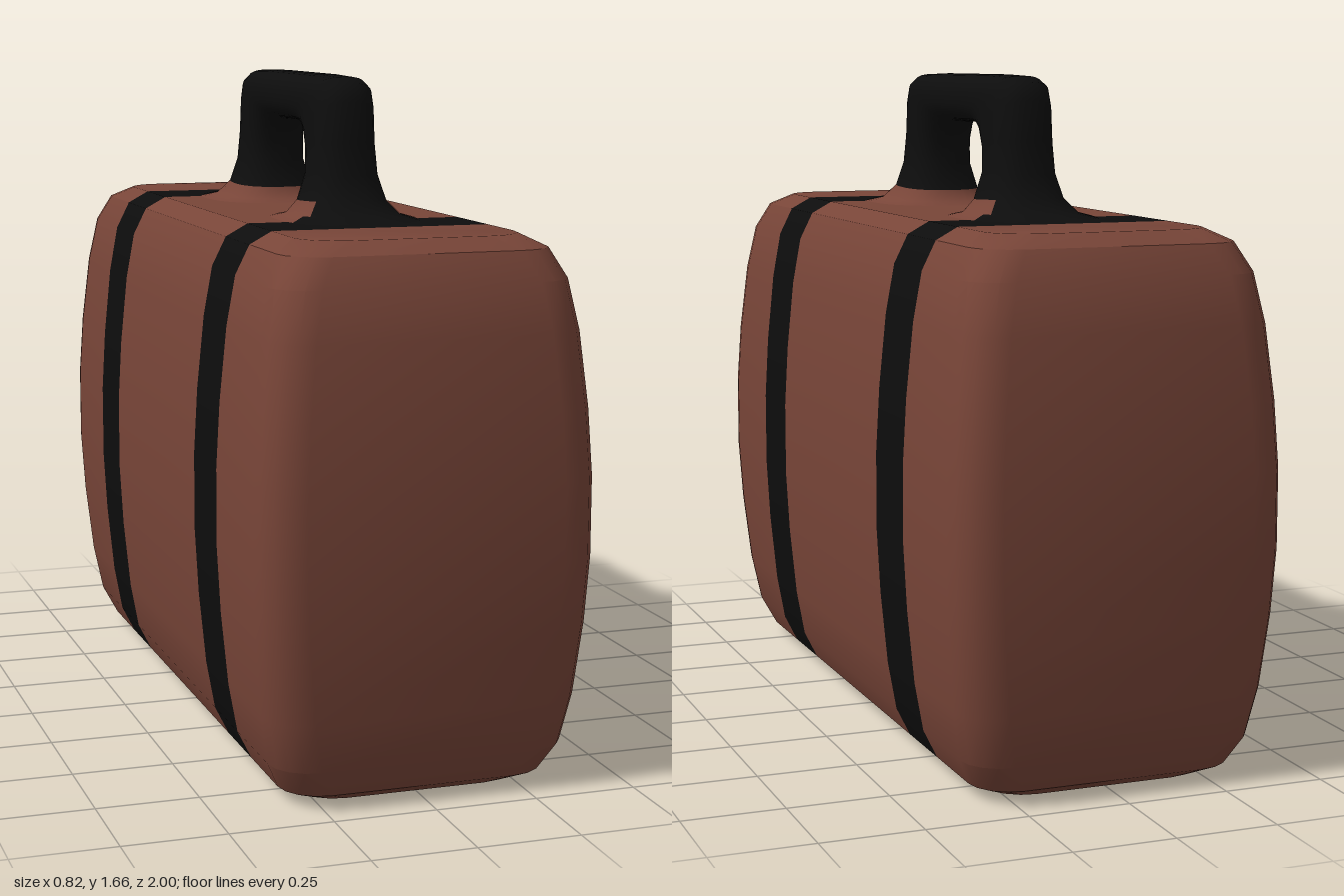
import * as THREE from 'three';
import { toCreasedNormals } from 'three/addons/utils/BufferGeometryUtils.js';

// Lofts closed rings; partOf(ring, segment, centre) returns a material index per quad.
// capOf, when given, closes the first and last ring with strips between mirrored points.
function loft(rings, partOf, capOf, crease) {
  const n = rings[0].length, faces = [[], []], positions = [];
  rings.forEach((ring) => ring.forEach((p) => positions.push(p.x, p.y, p.z)));
  const quad = (part, a, b, c, d) => faces[part].push(a, b, c, a, c, d);
  for (let r = 0; r < rings.length - 1; r++) {
    for (let i = 0; i < n; i++) {
      const k = (i + 1) % n;
      const centre = rings[r][i].clone().add(rings[r][k]).add(rings[r + 1][i]).add(rings[r + 1][k]).multiplyScalar(0.25);
      quad(partOf(r, i, centre), r * n + i, r * n + k, (r + 1) * n + k, (r + 1) * n + i);
    }
  }
  if (capOf) {
    const top = (rings.length - 1) * n;
    for (let i = 0; i < n / 2 - 1; i++) {
      quad(capOf(i), top + i, top + i + 1, top + n - 2 - i, top + n - 1 - i);
      quad(capOf(i), n - 1 - i, n - 2 - i, i + 1, i);
    }
  }
  const geometry = new THREE.BufferGeometry();
  geometry.setAttribute('position', new THREE.Float32BufferAttribute(positions, 3));
  geometry.setIndex([...faces[0], ...faces[1]]);
  geometry.addGroup(0, faces[0].length, 0);
  geometry.addGroup(faces[0].length, faces[1].length, 1);
  return toCreasedNormals(geometry, crease);
}

// Bulging case with two flush straps
function caseGeometry() {
  const height = 1.312, radius = 0.1;
  const lower = [[0, 0.14], [0.03, 0.085], [0.1, 0.05], [0.22, 0.028], [0.4, 0.01], [0.56, 0.001]];
  const levels = [...lower, ...lower.map(([y, inset]) => [height - y, inset]).reverse()];
  const rings = levels.map(([y, inset]) => {
    const hx = 0.413 - inset, hz = 1 - inset;
    const arc = [];
    for (let i = 0; i < 5; i++) {
      const t = (1 - i / 4) * Math.PI / 2;
      arc.push([hx - radius + radius * Math.cos(t), hz - radius + radius * Math.sin(t)]);
    }
    const side = [...arc, [hx, 0.6], [hx, 0.4], [hx, -0.4], [hx, -0.6],
      ...arc.map(([x, z]) => [x, -z]).reverse()];
    return [...side, ...side.map(([x, z]) => [-x, z]).reverse()].map(([x, z]) => new THREE.Vector3(x, y, z));
  });
  const strap = (i) => (i === 5 || i === 7 ? 1 : 0);
  return loft(rings, (r, i) => strap(i < 14 ? i : 26 - i), strap, 0.45);
}

// Arched handle with flared feet
function handleGeometry() {
  // outer z, outer y, inner z, inner y, half width
  const half = [
    [0.56, 1.308, 0.1, 1.308, 0.19],
    [0.47, 1.325, 0.16, 1.32, 0.135],
    [0.425, 1.36, 0.18, 1.35, 0.105],
    [0.402, 1.42, 0.2, 1.42, 0.085],
    [0.395, 1.5, 0.187, 1.48, 0.08],
    [0.39, 1.6, 0.16, 1.515, 0.08],
    [0.375, 1.645, 0.13, 1.53, 0.08],
    [0.33, 1.66, 0.1, 1.537, 0.08],
    [0.2, 1.663, 0.06, 1.54, 0.08],
  ];
  const path = [...half, [0, 1.663, 0, 1.54, 0.08],
    ...half.map(([oz, oy, iz, iy, w]) => [-oz, oy, -iz, iy, w]).reverse()];
  const round = (v) => Math.sign(v) * Math.pow(Math.abs(v), 0.8);
  const rings = path.map(([oz, oy, iz, iy, w]) => {
    const ring = [];
    for (let i = 0; i < 32; i++) {
      const a = i / 32 * Math.PI * 2, c = round(Math.cos(a)) / 2;
      ring.push(new THREE.Vector3(w * round(Math.sin(a)), (oy + iy) / 2 + (oy - iy) * c, (oz + iz) / 2 + (oz - iz) * c));
    }
    return ring;
  });
  // the lowest part of each flare, away from the strap, blends into the case
  const last = path.length - 2;
  const part = (r, i, p) => (Math.min(r, last - r) < 2 && Math.abs(p.z) < 0.4 ? 0 : 1);
  return loft(rings, part, null, 1.0);
}

export function createModel() {
  const leather = new THREE.MeshStandardMaterial({ color: 0x784538 });
  leather.name = 'brown leather';
  const black = new THREE.MeshStandardMaterial({ color: 0x0d0d0d });
  black.name = 'black strap';

  const model = new THREE.Group();
  model.name = 'suitcase';
  const add = (name, geometry) => {
    const mesh = new THREE.Mesh(geometry, [leather, black]);
    mesh.name = name;
    model.add(mesh);
  };
  add('caseWithStraps', caseGeometry());
  add('handle', handleGeometry());
  return model;
}
